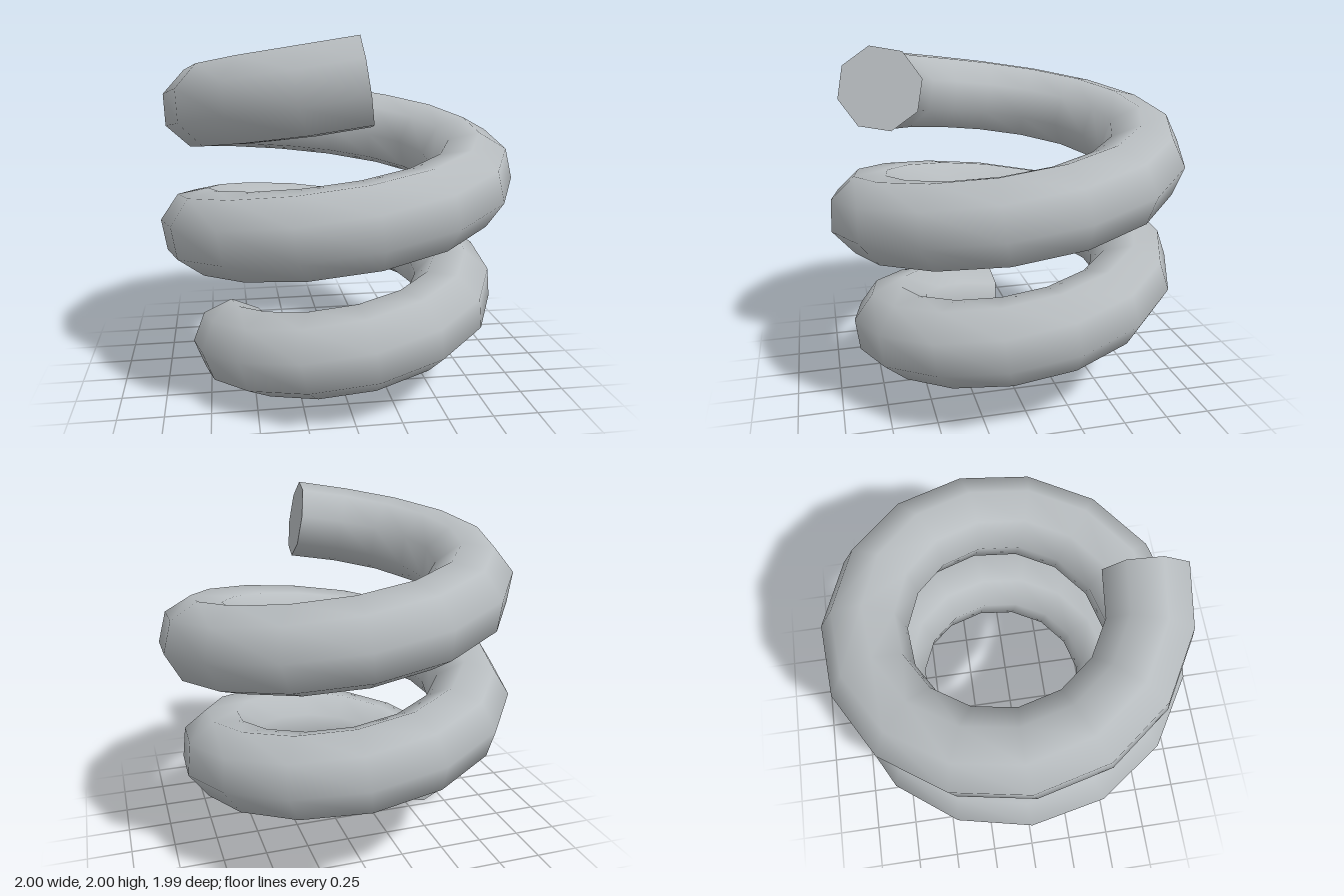
import * as THREE from 'three';

const STEPS = 34, SIDES = 8, WIRE = 0.23;
const SWEEP = THREE.MathUtils.degToRad(814);

// Coil radius at each quarter turn, widest in the middle
const radii = new THREE.SplineCurve(
  [0.62, 0.68, 0.70, 0.76, 0.78, 0.78, 0.78, 0.78, 0.74, 0.69].map((r, i) => new THREE.Vector2(i, r))
);

// Rising helix that starts on the right side and ends at the front
class Helix extends THREE.Curve {
  getPoint(t, target = new THREE.Vector3()) {
    const a = t * SWEEP, r = radii.getPoint(t).y;
    return target.set(-Math.cos(a) * r, 0.227 + 1.553 * t, Math.sin(a) * r);
  }
  // Even steps in angle, with each end cut square to its last segment
  getPointAt(t, target) { return this.getPoint(t, target); }
  getTangent(t, target = new THREE.Vector3()) {
    const h = 1 / STEPS;
    const before = this.getPoint(Math.max(0, t - h));
    return target.copy(this.getPoint(Math.min(1, t + h))).sub(before).normalize();
  }
  getTangentAt(t, target) { return this.getTangent(t, target); }
}

export function createModel() {
  const group = new THREE.Group();
  group.name = 'coilSpring';
  const steel = new THREE.MeshStandardMaterial({ color: 0xb8bdc0 });
  steel.name = 'steelGrey';

  // Coiled wire
  const path = new Helix();
  const tube = new THREE.TubeGeometry(path, STEPS, WIRE, SIDES, false);
  const coil = new THREE.Mesh(tube, steel);
  coil.name = 'coil';
  group.add(coil);

  // Flat ends
  const addCap = (name, i, dir) => {
    const n = tube.normals[i].clone();
    const b = tube.binormals[i].clone().multiplyScalar(dir);
    const t = tube.tangents[i].clone().multiplyScalar(dir);
    const geometry = new THREE.CircleGeometry(WIRE, SIDES);
    geometry.applyMatrix4(new THREE.Matrix4().makeBasis(n, b, t).setPosition(path.getPoint(i / STEPS)));
    const cap = new THREE.Mesh(geometry, steel);
    cap.name = name;
    group.add(cap);
  };
  addCap('bottomEnd', 0, -1);
  addCap('topEnd', STEPS, 1);

  return group;
}
